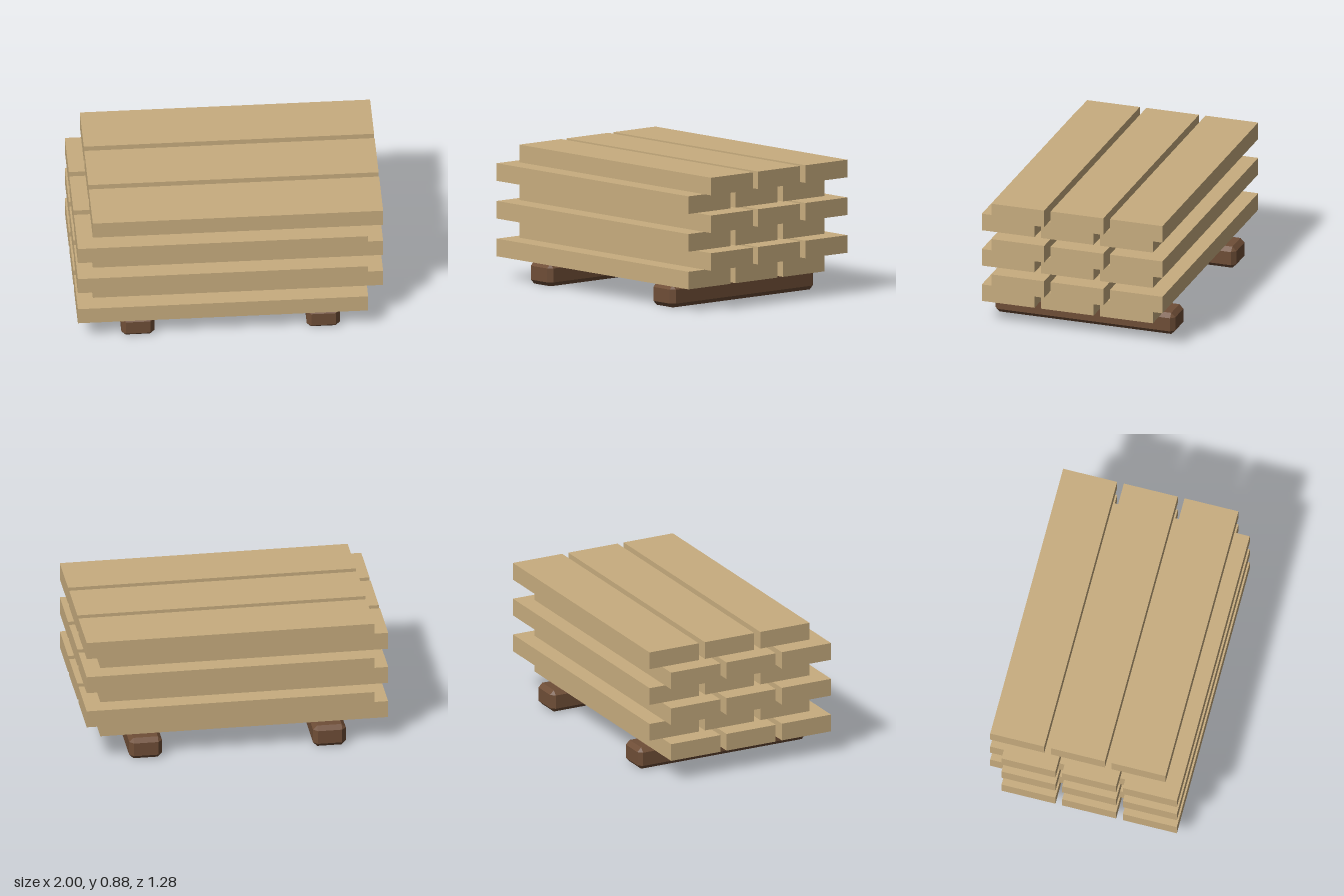
import * as THREE from 'three';
import { ConvexGeometry } from 'three/addons/geometries/ConvexGeometry.js';

// Box with every edge cut at 45 degrees
function chamferedBox(w, h, d, c) {
  const points = [];
  for (const sx of [-1, 1]) for (const sy of [-1, 1]) for (const sz of [-1, 1]) {
    for (let axis = 0; axis < 3; axis++) {
      // each point touches one outer face and is inset on the other two axes
      const inset = [c, c, c];
      inset[axis] = 0;
      points.push(new THREE.Vector3(
        sx * (w / 2 - inset[0]), sy * (h / 2 - inset[1]), sz * (d / 2 - inset[2])));
    }
  }
  return new ConvexGeometry(points);
}

export function createModel() {
  const model = new THREE.Group();
  model.name = 'plankStack';

  const plankWood = new THREE.MeshStandardMaterial({ color: 0xc8ad7f });
  plankWood.name = 'paleWood';
  const beamWood = new THREE.MeshStandardMaterial({ color: 0x6f4e37 });
  beamWood.name = 'darkWood';

  // Two bearer beams running front to back
  const beamHeight = 0.148;
  const beamGeometry = chamferedBox(0.216, beamHeight, 1.24, 0.028);
  for (const side of [1, -1]) {
    const beam = new THREE.Mesh(beamGeometry, beamWood);
    beam.name = side > 0 ? 'leftBeam' : 'rightBeam';
    beam.position.set(side * 0.605, beamHeight / 2, 0);
    model.add(beam);
  }

  // Six layers of three planks, shifted alternately along x and z
  const plankHeight = 0.116;
  const plankGeometry = new THREE.BoxGeometry(1.895, plankHeight, 0.363);
  for (let layer = 0; layer < 6; layer++) {
    const shift = layer % 2 ? 1 : -1;
    const group = new THREE.Group();
    group.name = `plankLayer${layer + 1}`;
    group.position.set(shift * 0.0525, beamHeight + plankHeight / 2 + layer * 0.1242, -shift * 0.0515);
    for (let i = -1; i <= 1; i++) {
      const plank = new THREE.Mesh(plankGeometry, plankWood);
      plank.name = 'plank';
      plank.position.z = i * 0.408;
      group.add(plank);
    }
    model.add(group);
  }
  return model;
}
